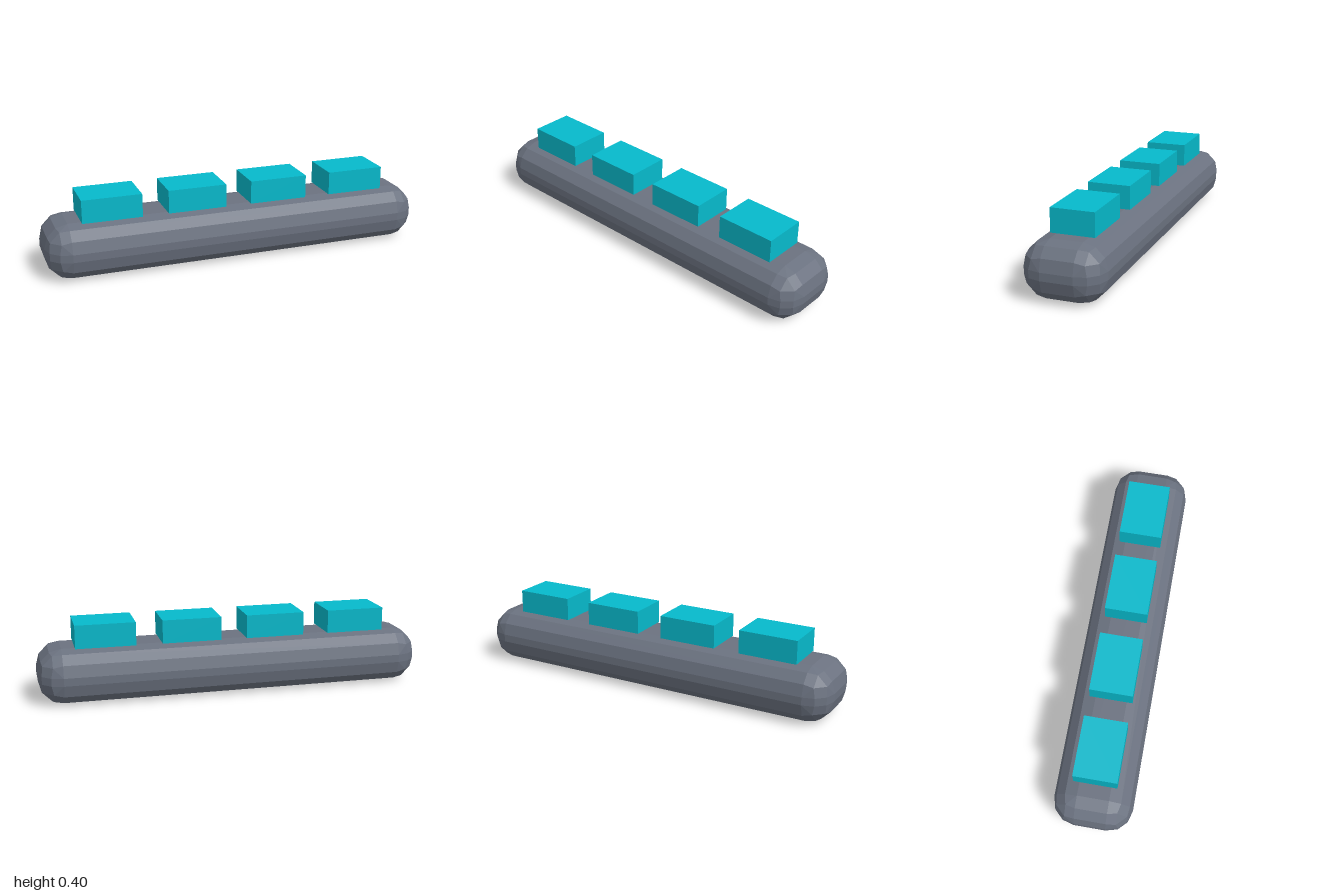
import * as THREE from 'three';
import { ConvexGeometry } from 'three/addons/geometries/ConvexGeometry.js';

// Box with faceted rounded edges: three facets per edge, a small patch at each corner
function bevelledBox(width, height, depth, radius) {
  const c = Math.cos(Math.PI / 6), s = 0.5;
  const inner = [0.816, 0.408, 0.408];
  const directions = [];
  for (let i = 0; i < 3; i++) {
    for (const d of [[1, 0, 0], [c, s, 0], [s, c, 0], inner]) {
      directions.push([0, 1, 2].map((k) => d[(k + i) % 3]));
    }
  }
  const points = [];
  for (const sx of [-1, 1]) for (const sy of [-1, 1]) for (const sz of [-1, 1]) {
    for (const [x, y, z] of directions) {
      points.push(new THREE.Vector3(
        sx * (width / 2 - radius + radius * x),
        sy * (height / 2 - radius + radius * y),
        sz * (depth / 2 - radius + radius * z)));
    }
  }
  return new ConvexGeometry(points);
}

export function createModel() {
  const group = new THREE.Group();
  const bodyMaterial = new THREE.MeshStandardMaterial({ color: 0x6b7280, flatShading: true });
  const blockMaterial = new THREE.MeshStandardMaterial({ color: 0x06b9cb });

  // Long rounded bar
  const body = new THREE.Mesh(bevelledBox(2, 0.28, 0.4, 0.12), bodyMaterial);
  body.name = 'body';
  body.position.y = 0.14;
  group.add(body);

  // Row of four blocks on top
  const blockGeometry = new THREE.BoxGeometry(0.305, 0.12, 0.22);
  for (let i = 0; i < 4; i++) {
    const block = new THREE.Mesh(blockGeometry, blockMaterial);
    block.name = `topBlock${i + 1}`;
    block.position.set((i - 1.5) * 0.44, 0.341, 0);
    group.add(block);
  }
  return group;
}
